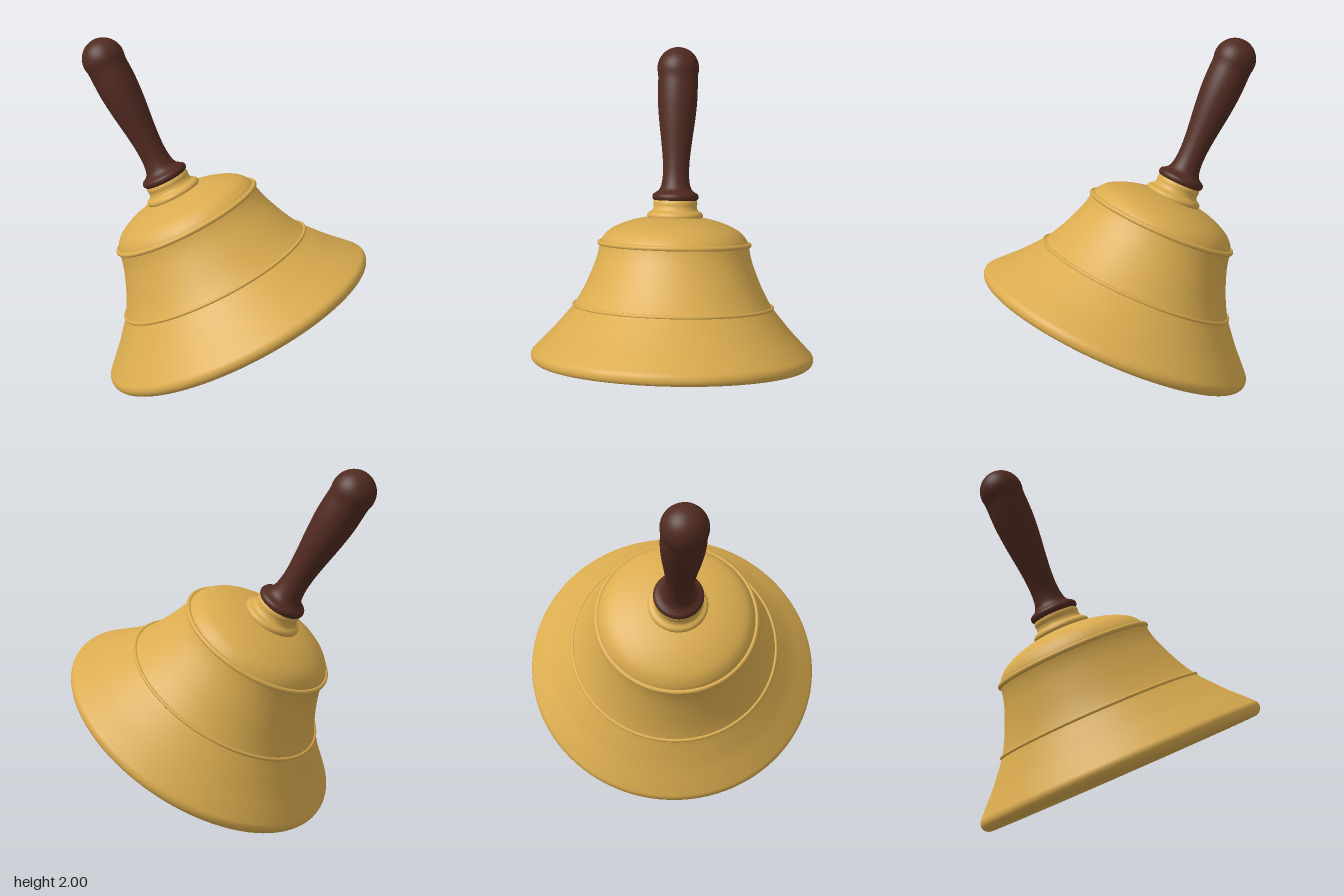
import * as THREE from 'three';

const v2 = (p) => new THREE.Vector2(p[0], p[1]);

// Smooth curve through [radius, height] points
const smooth = (pts, n) => new THREE.SplineCurve(pts.map(v2)).getPoints(n)
  .map((p) => new THREE.Vector2(Math.max(0, p.x), p.y));

// Circular arc in the profile plane, angles in degrees
function arc(cx, cy, r, from, to, n) {
  const out = [];
  for (let i = 0; i <= n; i++) {
    const a = THREE.MathUtils.degToRad(from + ((to - from) * i) / n);
    out.push(new THREE.Vector2(Math.max(0, cx + r * Math.cos(a)), cy + r * Math.sin(a)));
  }
  return out;
}

export function createModel() {
  const brass = new THREE.MeshStandardMaterial({ color: 0xdbac4f });
  brass.name = 'brass';
  const wood = new THREE.MeshStandardMaterial({ color: 0x502a20 });
  wood.name = 'dark wood';
  const iron = new THREE.MeshStandardMaterial({ color: 0x38363a });
  iron.name = 'dark iron';

  const model = new THREE.Group();
  model.name = 'handBell';

  // The bell is built upright around the centre of its mouth, then tilted
  const bell = new THREE.Group();
  bell.name = 'tiltedBell';
  bell.position.set(0.037, 0.435, 0);
  bell.quaternion.setFromUnitVectors(
    new THREE.Vector3(0, 1, 0),
    new THREE.Vector3(-0.422, 0.864, -0.278).normalize()
  );
  model.add(bell);

  const add = (name, geometry, material, y = 0) => {
    const mesh = new THREE.Mesh(geometry, material);
    mesh.name = name;
    mesh.position.y = y;
    bell.add(mesh);
  };
  const bead = (name, radius, tube, y) =>
    add(name, new THREE.TorusGeometry(radius, tube, 14, 96).rotateX(Math.PI / 2), brass, y);

  // Bell shell: down the inside, round the thick lip, up the outside
  const inside = smooth([
    [0, 0.77], [0.2, 0.757], [0.32, 0.715], [0.385, 0.63],
    [0.435, 0.48], [0.482, 0.375], [0.54, 0.272], [0.645, 0.112], [0.738, -0.016],
  ], 50);
  const lip = arc(0.782, 0, 0.045, 218, 403, 28);
  const outside = smooth([
    [0.808, 0.038], [0.76, 0.088], [0.70, 0.15], [0.64, 0.22], [0.58, 0.295],
    [0.528, 0.385], [0.485, 0.48], [0.455, 0.56], [0.441, 0.615],
    [0.434, 0.657], [0.415, 0.695], [0.375, 0.735], [0.30, 0.773], [0.22, 0.798], [0.13, 0.815],
  ], 70);
  add('bellBody', new THREE.LatheGeometry([...inside, ...lip, ...outside], 96), brass);

  // Fine raised beads
  bead('waistBead', 0.58, 0.01, 0.295);
  bead('shoulderBead', 0.436, 0.014, 0.657);

  // Brass neck: a rounded foot ring below a short collar
  add('neck', new THREE.LatheGeometry(smooth([
    [0.145, 0.79], [0.162, 0.816], [0.156, 0.836], [0.134, 0.85],
    [0.126, 0.872], [0.128, 0.895], [0.12, 0.92],
  ], 36), 64), brass);

  // Turned handle: flange, slender waist, swelling grip and rounded end
  add('handle', new THREE.LatheGeometry([
    v2([0, 0.905]), v2([0.09, 0.905]),
    ...arc(0.111, 0.929, 0.024, -90, 60, 12),
    ...smooth([
      [0.115, 0.954], [0.094, 0.972], [0.082, 1.005], [0.076, 1.06], [0.078, 1.14],
      [0.088, 1.24], [0.103, 1.36], [0.113, 1.47], [0.115, 1.55], [0.114, 1.61],
    ], 44),
    ...arc(0, 1.669, 0.12, -16, 90, 20),
  ], 48), wood);

  // Clapper hanging on the axis
  add('clapperRod', new THREE.CylinderGeometry(0.018, 0.018, 0.56, 20), iron, 0.485);
  add('clapperBall', new THREE.SphereGeometry(0.068, 32, 24), iron, 0.196);

  return model;
}
